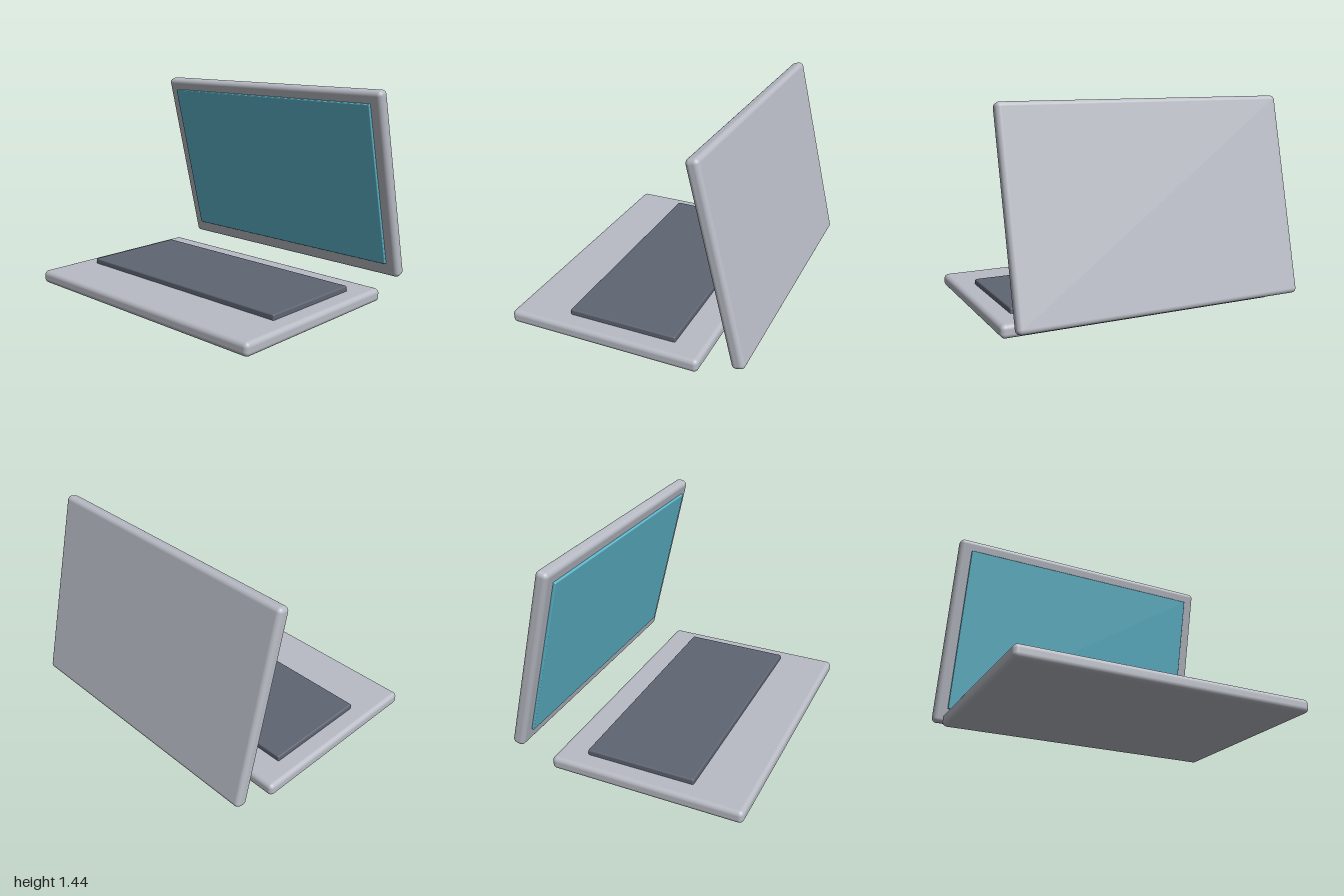
import * as THREE from 'three';
import { RoundedBoxGeometry } from 'three/addons/geometries/RoundedBoxGeometry.js';

function material(name, color) {
  const m = new THREE.MeshStandardMaterial({ color });
  m.name = name;
  return m;
}

// Rounded slab centred on the given position
function slab(name, mat, [w, h, d], radius, [x, y, z]) {
  const mesh = new THREE.Mesh(new RoundedBoxGeometry(w, h, d, 5, radius), mat);
  mesh.name = name;
  mesh.position.set(x, y, z);
  return mesh;
}

export function createModel() {
  const casing = material('silver grey', 0xb8bbc4);
  const keys = material('slate grey', 0x5f6573);
  const glass = material('teal', 0x5fb8cd);

  const model = new THREE.Group();
  model.name = 'laptop';

  // Base with raised keyboard panel
  model.add(slab('base', casing, [2, 0.091, 1.356], 0.032, [0, 0.0455, 0.152]));
  model.add(slab('keyboard', keys, [1.742, 0.046, 0.767], 0.01, [0, 0.105, 0.064]));

  // Lid floats behind the base, its top edge tipped toward the front
  const lid = new THREE.Group();
  lid.name = 'lid';
  lid.position.set(0, 0.773, -0.634);
  lid.rotation.x = 0.237;
  lid.add(slab('lidShell', casing, [2, 1.356, 0.088], 0.032, [0, 0, 0]));
  lid.add(slab('screen', glass, [1.828, 1.172, 0.036], 0.007, [0, 0.011, 0.043]));
  model.add(lid);

  return model;
}
